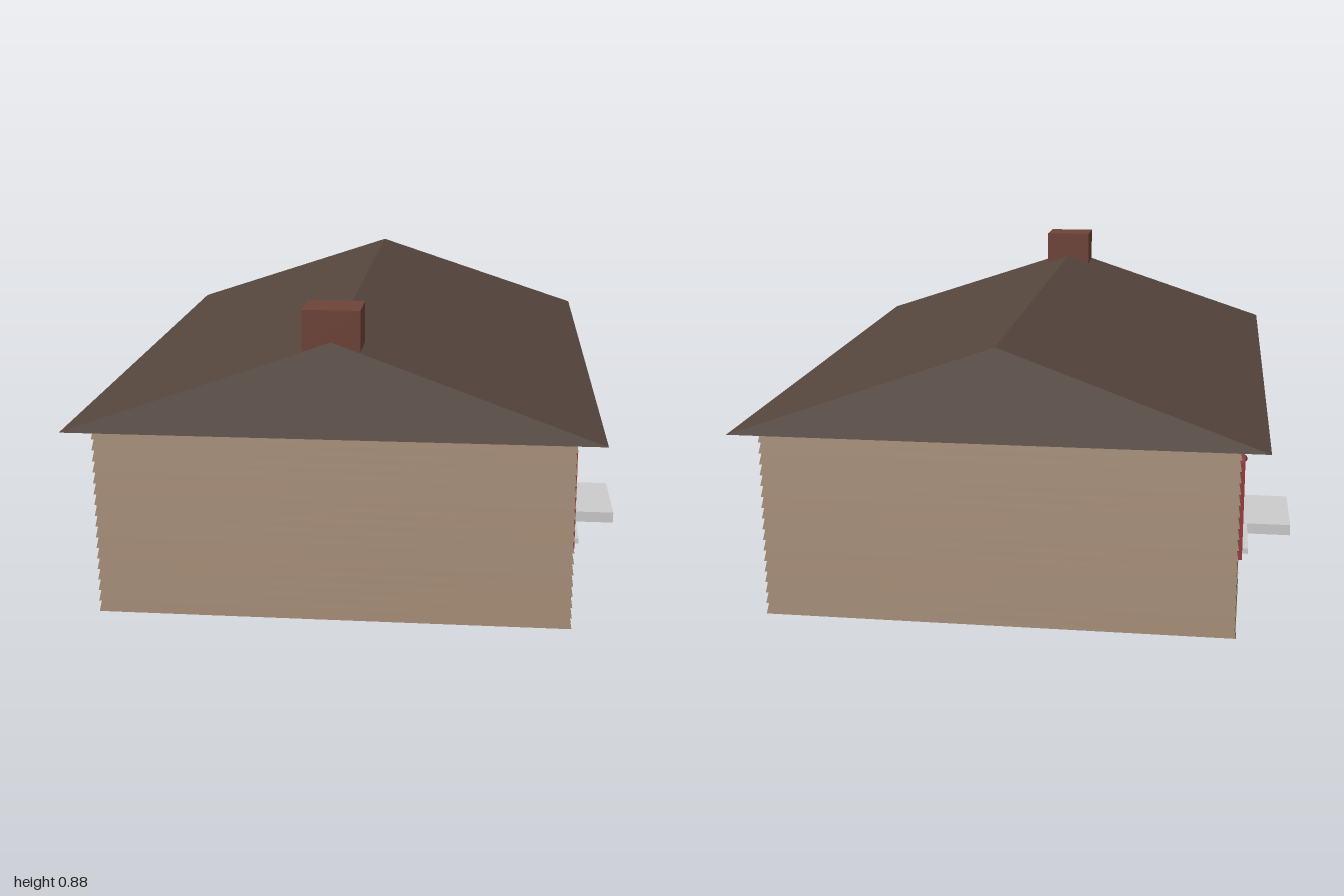
import * as THREE from 'three';

const mat = (color) => new THREE.MeshStandardMaterial({ color });
const M = {
  wall: mat(0x99816c), roof: mat(0x55463d), red: mat(0x9a3b3d), trim: mat(0xcccccc),
  glass: mat(0x6b7b7b), brick: mat(0x6e4338), black: mat(0x1d1f20), knob: mat(0x5a4a3a),
};

function add(parent, name, geometry, material, x = 0, y = 0, z = 0) {
  const mesh = new THREE.Mesh(geometry, material);
  mesh.name = name;
  mesh.position.set(x, y, z);
  parent.add(mesh);
  return mesh;
}

// Box given by its limits on each axis
function slab(parent, name, material, [x0, x1], [y0, y1], [z0, z1]) {
  return add(parent, name, new THREE.BoxGeometry(x1 - x0, y1 - y0, z1 - z0), material,
    (x0 + x1) / 2, (y0 + y1) / 2, (z0 + z1) / 2);
}

function flat(geometry) {
  const g = geometry.index ? geometry.toNonIndexed() : geometry;
  g.computeVertexNormals();
  return g;
}

// Lapped boards: a sawtooth profile turned around four corners
function walls() {
  const pts = [new THREE.Vector2(0, 0)];
  const boards = 17, top = 0.541;
  for (let i = 0; i < boards; i++) {
    pts.push(new THREE.Vector2(Math.SQRT2, (i * top) / boards));
    pts.push(new THREE.Vector2(Math.SQRT2 * 0.991, ((i + 1) * top) / boards));
  }
  const g = new THREE.LatheGeometry(pts, 4, Math.PI / 4);
  g.scale(0.665, 1, 0.957);
  return flat(g);
}

// Triangular prism whose ridge is pulled in at both ends
function roof() {
  const s = new THREE.Shape([
    new THREE.Vector2(-0.74, 0.54), new THREE.Vector2(0.74, 0.54), new THREE.Vector2(0, 0.793),
  ]);
  const g = new THREE.ExtrudeGeometry(s, { depth: 2, bevelEnabled: false });
  g.translate(0, 0, -1);
  const p = g.attributes.position;
  for (let i = 0; i < p.count; i++) if (p.getY(i) > 0.7) p.setZ(i, p.getZ(i) * 0.94);
  return flat(g);
}

function shutter(z) {
  const g = new THREE.Group();
  g.name = 'shutter';
  const w = 0.05;
  slab(g, 'shutterBack', M.red, [0.655, 0.669], [0.155, 0.445], [z - w, z + w]);
  for (const s of [-1, 1]) {
    const a = z + s * w, b = z + s * (w - 0.012);
    slab(g, 'stile', M.red, [0.66, 0.678], [0.155, 0.445], [Math.min(a, b), Math.max(a, b)]);
  }
  for (const y of [0.155, 0.43])
    slab(g, 'rail', M.red, [0.66, 0.678], [y, y + 0.015], [z - w + 0.012, z + w - 0.012]);
  // tilted louvres
  for (let i = 0; i < 12; i++) {
    const m = add(g, 'louvre', new THREE.BoxGeometry(0.005, 0.022, 0.078), M.red, 0.67, 0.181 + i * 0.0215, z);
    m.rotation.z = 0.3;
  }
  return g;
}

function windowUnit(z) {
  const g = new THREE.Group();
  g.name = 'window';
  const w = 0.11, y0 = 0.15, y1 = 0.445;
  slab(g, 'glass', M.glass, [0.655, 0.668], [y0, y1], [z - w, z + w]);
  const bar = (cy, cz, h, d, x = 0.673) =>
    slab(g, 'windowBar', M.trim, [0.66, x], [cy - h / 2, cy + h / 2], [cz - d / 2, cz + d / 2]);
  const mid = (y0 + y1) / 2, H = y1 - y0;
  for (const s of [-1, 1]) bar(mid, z + s * (w - 0.006), H, 0.012, 0.677);
  bar(y1 - 0.006, z, 0.012, 2 * w, 0.677);
  bar(y0 + 0.006, z, 0.012, 2 * w, 0.677);
  bar(mid, z, 0.016, 2 * w, 0.676);
  for (const s of [-1, 0, 1]) bar(mid, z + s * 0.051, H, 0.006);
  for (const y of [0.225, 0.37]) bar(y, z, 0.006, 2 * w);
  slab(g, 'sill', M.trim, [0.655, 0.697], [0.137, 0.153], [z - w, z + w]);
  g.add(shutter(z - 0.161), shutter(z + 0.161));
  return g;
}

function door() {
  const g = new THREE.Group();
  g.name = 'door';
  slab(g, 'doorLeaf', M.red, [0.65, 0.671], [0.05, 0.465], [-0.105, 0.105]);
  // stiles, rails and raised panels
  for (const z of [-0.091, 0, 0.091])
    slab(g, 'doorStile', M.red, [0.66, 0.677], [0.052, 0.462], [z - 0.012, z + 0.012]);
  for (const [a, b] of [[0.052, 0.082], [0.222, 0.24], [0.292, 0.308], [0.442, 0.462]])
    slab(g, 'doorRail', M.red, [0.66, 0.677], [a, b], [-0.1, 0.1]);
  for (const [a, b] of [[0.092, 0.212], [0.248, 0.284], [0.317, 0.433]])
    for (const z of [-0.0455, 0.0455])
      slab(g, 'doorPanel', M.red, [0.66, 0.675], [a, b], [z - 0.025, z + 0.025]);
  // casing and cap
  for (const z of [-0.114, 0.114])
    slab(g, 'doorCasing', M.trim, [0.65, 0.689], [0.05, 0.465], [z - 0.011, z + 0.011]);
  slab(g, 'doorHead', M.trim, [0.65, 0.693], [0.46, 0.473], [-0.125, 0.125]);
  slab(g, 'doorCap', M.trim, [0.65, 0.702], [0.471, 0.482], [-0.127, 0.127]);
  add(g, 'doorKnob', new THREE.SphereGeometry(0.012, 16, 12), M.knob, 0.688, 0.26, 0.093);
  slab(g, 'doorStep', M.trim, [0.65, 0.845], [0.02, 0.055], [-0.152, 0.152]);
  return g;
}

function lantern() {
  const g = new THREE.Group();
  g.name = 'lantern';
  const stack = (name, rt, rb, y0, y1, m) =>
    add(g, name, new THREE.CylinderGeometry(rt, rb, y1 - y0, 6).translate(0, 0, 0), m, 0, (y0 + y1) / 2, 0);
  stack('lanternBase', 0.017, 0.014, 0.328, 0.336, M.black);
  stack('lanternGlass', 0.02, 0.014, 0.336, 0.382, M.glass);
  stack('lanternRim', 0.025, 0.023, 0.38, 0.387, M.black);
  stack('lanternCap', 0.005, 0.023, 0.387, 0.408, M.black);
  for (let i = 0; i < 6; i++) {
    const a = (i * Math.PI) / 3;
    const path = new THREE.LineCurve3(
      new THREE.Vector3(Math.sin(a) * 0.014, 0.334, Math.cos(a) * 0.014),
      new THREE.Vector3(Math.sin(a) * 0.02, 0.383, Math.cos(a) * 0.02));
    add(g, 'lanternBar', new THREE.TubeGeometry(path, 1, 0.002, 4), M.black);
  }
  const hook = new THREE.CatmullRomCurve3([[0, 0.403], [-0.002, 0.422], [-0.014, 0.428],
    [-0.022, 0.44], [-0.022, 0.455]].map(([x, y]) => new THREE.Vector3(x, y, 0)));
  add(g, 'lanternHook', new THREE.TubeGeometry(hook, 16, 0.003, 6), M.black);
  add(g, 'lanternPlate', new THREE.BoxGeometry(0.02, 0.035, 0.012), M.black, -0.033, 0.425, 0);
  g.position.set(0.701, 0, 0.23);
  return g;
}

function facade() {
  const g = new THREE.Group();
  g.name = 'facade';
  g.add(windowUnit(0.548), windowUnit(-0.548), door());
  return g;
}

export function createModel() {
  const house = new THREE.Group();
  house.name = 'house';
  add(house, 'sidingWalls', walls(), M.wall);
  add(house, 'roof', roof(), M.roof);
  add(house, 'soffit', new THREE.PlaneGeometry(1.48, 2).rotateX(Math.PI / 2), M.trim, 0, 0.539, 0);
  slab(house, 'chimney', M.brick, [-0.079, 0.079], [0.766, 0.88], [0.8, 0.937]);
  // matching long sides, lantern on one only
  const back = facade();
  back.rotation.y = Math.PI;
  house.add(facade(), back, lantern());
  return house;
}
